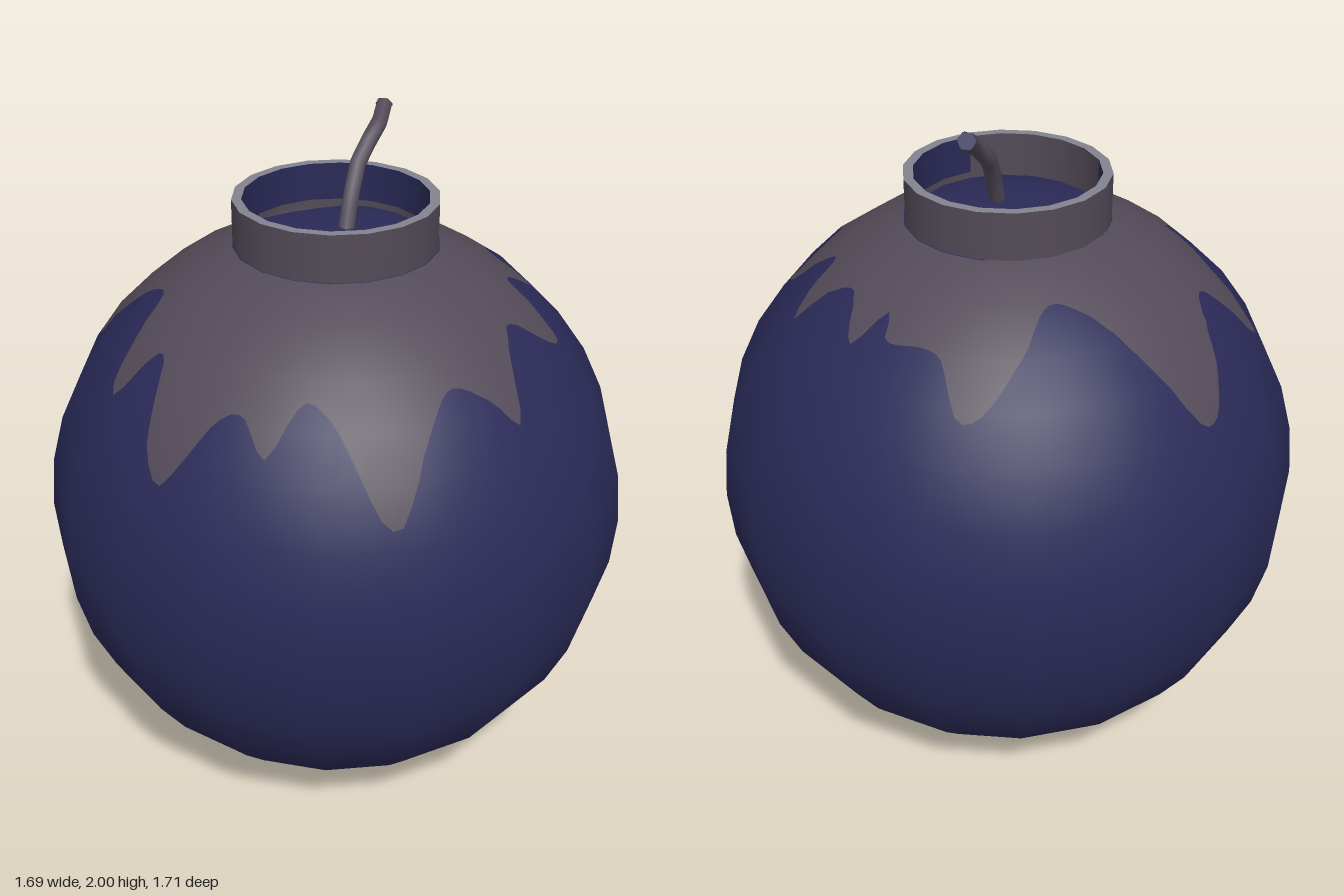
import * as THREE from 'three';

const R = 0.855, CY = 0.86, DEG = Math.PI / 180;
const PHASE = 8, STEP = 20, RING = 10; // facet layout of the body, in degrees

const mat = (name, color) => {
  const m = new THREE.MeshStandardMaterial({ color, side: THREE.DoubleSide });
  m.name = name;
  return m;
};

// unit direction for an azimuth (from +x towards +z) and an angle from the top
const dir = (a, t) => new THREE.Vector3(
  Math.cos(a * DEG) * Math.sin(t * DEG), Math.cos(t * DEG), Math.sin(a * DEG) * Math.sin(t * DEG));

// point on the faceted ball
function facetPoint(a, t) {
  const u = (a - PHASE) / STEP, v = t / RING;
  const i = Math.floor(u + 1e-6), j = Math.min(Math.floor(v + 1e-6), 17);
  const p = (k, l) => dir(PHASE + k * STEP, l * RING);
  const upper = p(i, j).lerp(p(i + 1, j), u - i);
  const lower = p(i, j + 1).lerp(p(i + 1, j + 1), u - i);
  return upper.lerp(lower, v - j).multiplyScalar(R).add(new THREE.Vector3(0, CY, 0));
}

// part of the ball between two angle functions of the azimuth
function shell(from, to) {
  const pos = [], nor = [], idx = [], cols = 180, rows = 18, ts = [];
  for (let c = 0; c <= cols; c++) {
    const a = PHASE + c * 2, lo = from(a), hi = to(a);
    for (let r = 0; r <= rows; r++) {
      const t = Math.min(Math.max(r * RING, lo), hi);
      ts.push(t);
      pos.push(...facetPoint(a, t).toArray());
      nor.push(...dir(a, t).toArray());
    }
  }
  for (let c = 0; c < cols; c++) {
    for (let r = 0; r < rows; r++) {
      const p = c * (rows + 1) + r, q = p + rows + 1;
      if (ts[q + 1] > ts[q]) idx.push(p, q, q + 1);
      if (ts[p + 1] > ts[p]) idx.push(p, q + 1, p + 1);
    }
  }
  const g = new THREE.BufferGeometry();
  g.setAttribute('position', new THREE.Float32BufferAttribute(pos, 3));
  g.setAttribute('normal', new THREE.Float32BufferAttribute(nor, 3));
  g.setIndex(idx);
  return g;
}

// drip outline seen from above: x, z pairs round the ball
const DRIPS = [
  .55, -.09, .545, .07, .48, .1, .56, .18, .42, .25, .41, .34, .45, .44, .37, .42, .27, .41,
  .255, .57, .22, .60, .16, .58, .06, .53, -.06, .63, -.12, .69, -.18, .61, -.25, .545,
  -.38, .56, -.53, .58, -.56, .53, -.52, .34, -.53, .28, -.66, .24, -.62, .13, -.77, -.03,
  -.72, -.1, -.55, -.19, -.63, -.3, -.52, -.33, -.36, -.34, -.33, -.52, -.32, -.64,
  -.25, -.66, -.12, -.55, -.02, -.6, .06, -.68, .15, -.72, .22, -.70, .255, -.57,
  .28, -.36, .32, -.29, .46, -.29, .62, -.24, .64, -.19];

// turns the outline into an angle from the top for any azimuth
function outlineAngle(pairs) {
  const pts = [];
  for (let i = 0; i < pairs.length; i += 2) pts.push(new THREE.Vector3(pairs[i], 0, pairs[i + 1]));
  const line = new THREE.CatmullRomCurve3(pts, true, 'centripetal').getPoints(1500)
    .map(p => [((Math.atan2(p.z, p.x) / DEG) + 360) % 360, Math.hypot(p.x, p.z)]);
  return a => {
    const w = a % 360;
    let best = line[0], d = 999;
    for (const s of line) {
      const e = Math.abs(s[0] - w);
      if (e < d) { d = e; best = s; }
    }
    return Math.asin(Math.min(best[1] / R, 1)) / DEG;
  };
}

export function createModel() {
  const model = new THREE.Group();
  const navy = mat('navy', 0x2a2a58);
  const soot = mat('dark grey', 0x534b58);
  const steel = mat('light grey', 0x82848f);
  const add = (name, geo, m, y = 0) => {
    const mesh = new THREE.Mesh(geo, m);
    mesh.name = name;
    mesh.position.y = y;
    model.add(mesh);
    return mesh;
  };

  // ball and the dripping coat on its shoulder
  const drip = outlineAngle(DRIPS);
  add('body', shell(drip, () => 180), navy);
  add('drippingCoat', shell(() => 20, drip), soot);

  // floor inside the collar, with one grey patch
  const patch = a => {
    const s = (a % 360 - 264) / 80;
    return s > 0 && s < 1 ? 20 - 7 * Math.sin(s * Math.PI) : 20;
  };
  add('collarFloor', shell(() => 0, patch), navy);
  add('floorPatch', shell(patch, () => 20), soot);

  // collar: outer wall, rim and two-tone inner wall
  const wall = (r, h, start, sides) =>
    new THREE.CylinderGeometry(r, r, h, sides, 1, true, start * DEG, sides * 20 * DEG);
  add('collarOuter', wall(0.29, 0.14, 2, 18), soot, 1.73);
  const rim = add('collarRim', new THREE.RingGeometry(0.262, 0.29, 18, 1, 8 * DEG), steel, 1.8);
  rim.rotation.x = -Math.PI / 2;
  rim.geometry.rotateZ(-16 * DEG);
  add('collarInnerBlue', wall(0.262, 0.11, 322, 13), navy, 1.745);
  add('collarInnerGrey', wall(0.262, 0.11, 222, 5), soot, 1.745);
  add('collarInnerBase', wall(0.262, 0.03, 2, 18), soot, 1.675);

  // bent fuse with a dark cut end
  const path = new THREE.CatmullRomCurve3([
    [0, 1.68, 0.03], [0.055, 1.8, 0.015], [0.12, 1.885, 0], [0.19, 1.94, 0.005], [0.27, 1.983, -0.025],
  ].map(p => new THREE.Vector3(...p)));
  add('fuse', new THREE.TubeGeometry(path, 6, 0.025, 6), soot);
  const tip = add('fuseTip', new THREE.CircleGeometry(0.025, 6), navy);
  tip.position.copy(path.getPoint(1));
  tip.lookAt(path.getPoint(1).add(path.getTangent(1)));

  return model;
}
